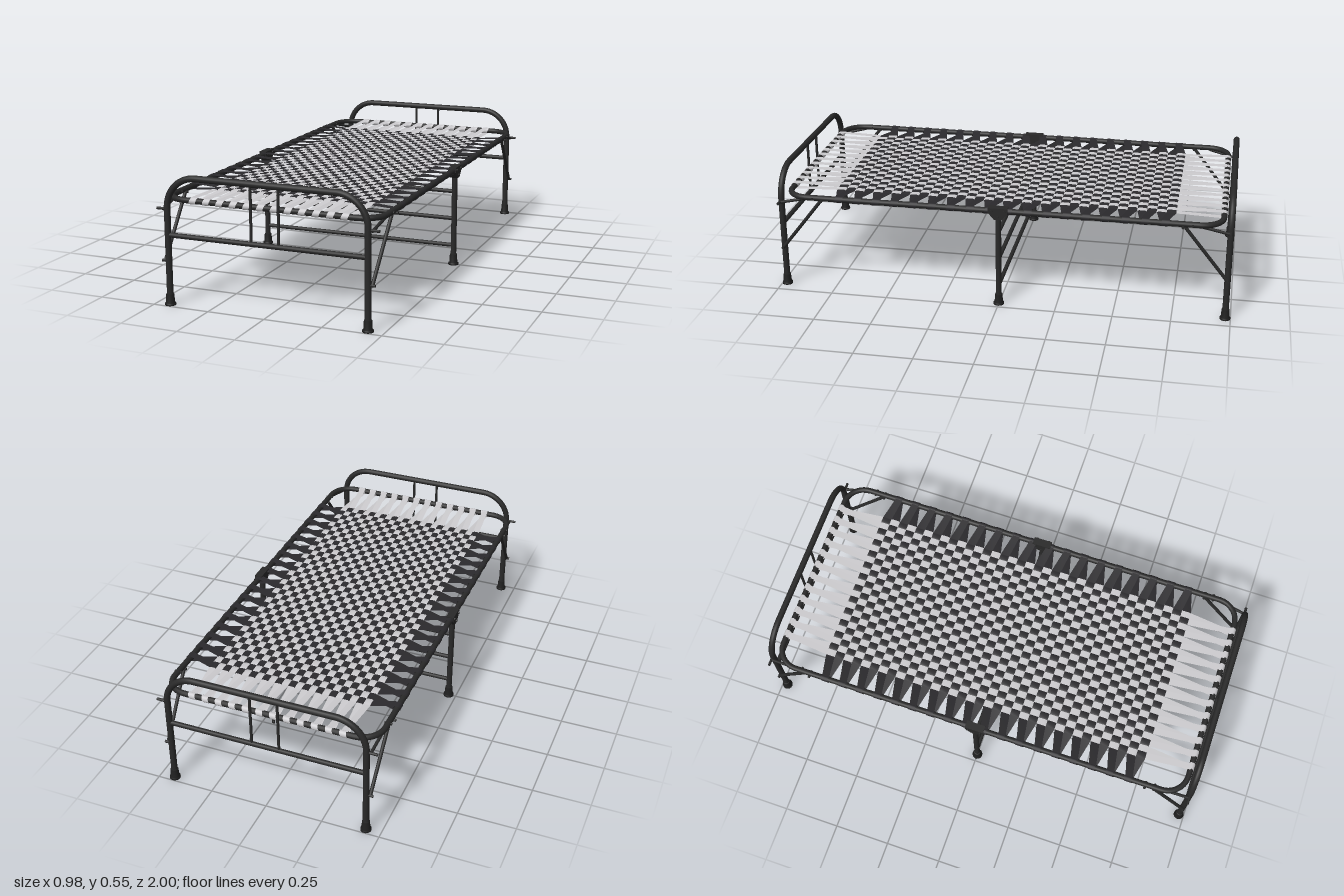
import * as THREE from 'three';
import { mergeGeometries } from 'three/addons/utils/BufferGeometryUtils.js';

const V = (x, y, z) => new THREE.Vector3(x, y, z);
const mat = (name, color, side = THREE.FrontSide) => {
  const m = new THREE.MeshStandardMaterial({ color, side });
  m.name = name;
  return m;
};

// Line path whose inner corners are rounded with radius r
function roundedPath(pts, r, closed) {
  const path = new THREE.CurvePath();
  const n = pts.length;
  const toward = (a, b, d) => a.clone().add(b.clone().sub(a).setLength(d));
  let cursor = closed ? toward(pts[0], pts[1], r) : pts[0];
  const last = closed ? n : n - 2;
  for (let i = 1; i <= last; i++) {
    const c = pts[i % n], prev = pts[i - 1], next = pts[(i + 1) % n];
    const a = toward(c, prev, r), b = toward(c, next, r);
    path.add(new THREE.LineCurve3(cursor, a));
    path.add(new THREE.CubicBezierCurve3(a, a.clone().lerp(c, 0.552), b.clone().lerp(c, 0.552), b));
    cursor = b;
  }
  if (!closed) path.add(new THREE.LineCurve3(cursor, pts[n - 1]));
  return path;
}

// Straight round bar between two points
function rod(a, b, r, sides = 14) {
  const d = b.clone().sub(a);
  const g = new THREE.CylinderGeometry(r, r, d.length(), sides);
  g.applyQuaternion(new THREE.Quaternion().setFromUnitVectors(V(0, 1, 0), d.clone().normalize()));
  const m = a.clone().add(b).multiplyScalar(0.5);
  return g.translate(m.x, m.y, m.z);
}

// Flat ribbon from cross-sections [centre, half width], spread along the axis
function ribbon(sections, axis) {
  const pos = [], idx = [];
  sections.forEach(([c, w], k) => {
    for (const s of [-1, 1]) pos.push(c.x + s * w * axis.x, c.y, c.z + s * w * axis.z);
    if (k) {
      const o = 2 * k;
      if (axis.x) idx.push(o - 2, o, o - 1, o - 1, o, o + 1);
      else idx.push(o - 2, o - 1, o, o - 1, o + 1, o);
    }
  });
  const g = new THREE.BufferGeometry();
  g.setAttribute('position', new THREE.Float32BufferAttribute(pos, 3));
  g.setIndex(idx);
  g.computeVertexNormals();
  return g;
}

export function createModel() {
  const root = new THREE.Group();
  const steel = mat('black steel', 0x292929);
  const rubber = mat('black rubber', 0x202020);
  const darkTape = mat('dark webbing', 0x2b2a2d, THREE.DoubleSide);
  const lightTape = mat('light webbing', 0xcccbce, THREE.DoubleSide);
  const add = (name, geo, m) => {
    const mesh = new THREE.Mesh(geo, m);
    mesh.name = name;
    root.add(mesh);
    return mesh;
  };

  const FX = 0.466, FZ = 0.945, FY = 0.44;   // bed frame
  const LX = 0.435, LZ = 0.977;              // end hoops
  const WX = 0.36, WZ = 0.745;               // woven area

  // Bed frame
  const corners = [V(-FX, FY, -FZ), V(FX, FY, -FZ), V(FX, FY, FZ), V(-FX, FY, FZ)];
  add('bedFrame', new THREE.TubeGeometry(roundedPath(corners, 0.095, true), 300, 0.0125, 12, true), steel);

  // Rubber foot
  const footProfile = [[0, 0], [0.023, 0], [0.023, 0.008], [0.0185, 0.01], [0.0165, 0.046], [0.0145, 0.05], [0, 0.05]]
    .map(p => new THREE.Vector2(...p));
  const foot = (x, z) => new THREE.LatheGeometry(footProfile, 18).translate(x, 0, z);
  const feet = [];

  // End hoops with crossbar and two spindles
  for (const s of [-1, 1]) {
    const z = s * LZ, end = s > 0 ? 'front' : 'back';
    const hoop = roundedPath([V(-LX, 0.02, z), V(-LX, 0.54, z), V(LX, 0.54, z), V(LX, 0.02, z)], 0.13, false);
    add(end + 'Hoop', new THREE.TubeGeometry(hoop, 140, 0.0135, 14), steel);
    add(end + 'Rails', mergeGeometries([
      rod(V(-LX, 0.297, z), V(LX, 0.297, z), 0.0105),
      ...[-0.06, 0.06].map(x => rod(V(x, 0.297, z), V(x, 0.54, z), 0.006)),
    ]), steel);
    const braces = [];
    for (const t of [-1, 1]) {
      feet.push(foot(t * LX, z));
      braces.push(
        rod(V(t * 0.452, 0.185, z), V(t * 0.46, 0.435, s * 0.78), 0.0075),
        rod(V(t * 0.452, 0.402, z), V(t * 0.462, 0.432, s * 0.855), 0.0065),
        rod(V(t * 0.43, 0.187, z), V(t * 0.465, 0.187, z), 0.006, 8),
        rod(V(t * 0.43, 0.405, z), V(t * 0.482, 0.405, z), 0.006, 8),
        rod(V(t * 0.45, 0.43, s * 0.78), V(t * 0.484, 0.43, s * 0.78), 0.006, 8),
        rod(V(t * 0.45, 0.44, s * 0.82), V(t * 0.482, 0.44, s * 0.82), 0.005, 8));
    }
    add(end + 'Braces', mergeGeometries(braces), steel);
  }

  // Middle legs with three crossbars
  const middle = [];
  for (const t of [-1, 1]) {
    middle.push(rod(V(t * FX, 0.02, 0), V(t * FX, 0.425, 0), 0.0125));
    feet.push(foot(t * FX, 0));
  }
  for (const y of [0.09, 0.215, 0.34]) middle.push(rod(V(-FX, y, 0), V(FX, y, 0), 0.009));
  add('middleLegs', mergeGeometries(middle), steel);
  add('feet', mergeGeometries(feet), rubber);

  // Folding hinges over the middle legs
  const plate = new THREE.Shape([[-0.042, 0.457], [-0.042, 0.435], [-0.016, 0.405], [0.016, 0.405], [0.042, 0.435], [0.042, 0.457]]
    .map(p => new THREE.Vector2(...p)));
  for (const t of [-1, 1]) {
    const g = new THREE.ExtrudeGeometry(plate, { depth: 0.034, bevelEnabled: false });
    g.rotateY(Math.PI / 2).translate(t * FX - 0.017, 0, 0);
    add(t > 0 ? 'leftHinge' : 'rightHinge', g, steel);
    add('hingeBolts', mergeGeometries([-0.028, 0, 0.028].map(z =>
      rod(V(t * FX - 0.022, z ? 0.444 : 0.418, z), V(t * FX + 0.022, z ? 0.444 : 0.418, z), 0.006, 8))), steel);
  }

  // Locking tab below the back of the frame
  const tab = new THREE.Shape([[-0.005, 0.402], [0.005, 0.402], [0.005, 0.43], [-0.005, 0.43]].map(p => new THREE.Vector2(...p)));
  tab.holes.push(new THREE.Path().absarc(0, 0.411, 0.0028, 0, Math.PI * 2, true));
  add('lockingTab', new THREE.ExtrudeGeometry(tab, { depth: 0.004, bevelEnabled: false }).translate(-0.025, 0, -FZ), steel);

  // Woven webbing: each strap waves over and under, pairs close up at the frame
  const COLS = 24, ROWS = 36, cw = 2 * WX / COLS, rh = 2 * WZ / ROWS, WAVE = 0.003;
  function straps(count, crossCount, step, half, cross, crossHalf, rim, rimHalf, place, axis) {
    const sign = axis.x ? 1 : -1, out = [];
    for (let i = 0; i < count; i++) {
      const u = -half + (i + 0.5) * step;
      const pair = -half + (2 * Math.floor(i / 2) + 1) * step;
      const lift = i % 2 ? -0.0135 : 0.0135;
      const sections = [[place(pair, FY + lift, -rim), rimHalf], [place(u, FY, -crossHalf), step * 0.49]];
      for (let j = 0; j < crossCount; j++) {
        const v = -crossHalf + j * cross, h = (i + j) % 2 ? -1 : 1;
        for (const f of [0.2, 0.8]) sections.push([place(u, FY + sign * h * WAVE, v + f * cross), step * 0.49]);
        sections.push([place(u, FY, v + cross), step * 0.49]);
      }
      sections.push([place(pair, FY + lift, rim), rimHalf]);
      out.push(ribbon(sections, axis));
    }
    return out;
  }
  add('lengthwiseWebbing', mergeGeometries(
    straps(COLS, ROWS, cw, WX, rh, WZ, FZ, 0.014, (u, y, v) => V(u, y, v), V(1, 0, 0))), lightTape);
  add('crosswiseWebbing', mergeGeometries(
    straps(ROWS, COLS, rh, WZ, cw, WX, FX, 0.016, (u, y, v) => V(v, y, u), V(0, 0, 1))), darkTape);

  // Slanted wraps where the webbing turns round the frame
  function wrap(len, slant) {
    const g = new THREE.CylinderGeometry(0.0145, 0.0145, len, 14, 1, true).rotateZ(Math.PI / 2);
    const p = g.attributes.position;
    for (let i = 0; i < p.count; i++) p.setX(i, p.getX(i) + slant * p.getY(i));
    return g;
  }
  const endWraps = [], sideWraps = [];
  for (const s of [-1, 1]) {
    for (let i = 0; i < COLS / 2; i++)
      endWraps.push(wrap(0.029, 0.35).translate(-WX + (2 * i + 1) * cw, FY, s * FZ));
    for (let i = 0; i < ROWS / 2; i++)
      sideWraps.push(wrap(0.033, 0.35).rotateY(Math.PI / 2).translate(s * FX, FY, -WZ + (2 * i + 1) * rh));
  }
  add('endWraps', mergeGeometries(endWraps), lightTape);
  add('sideWraps', mergeGeometries(sideWraps), darkTape);

  return root;
}
